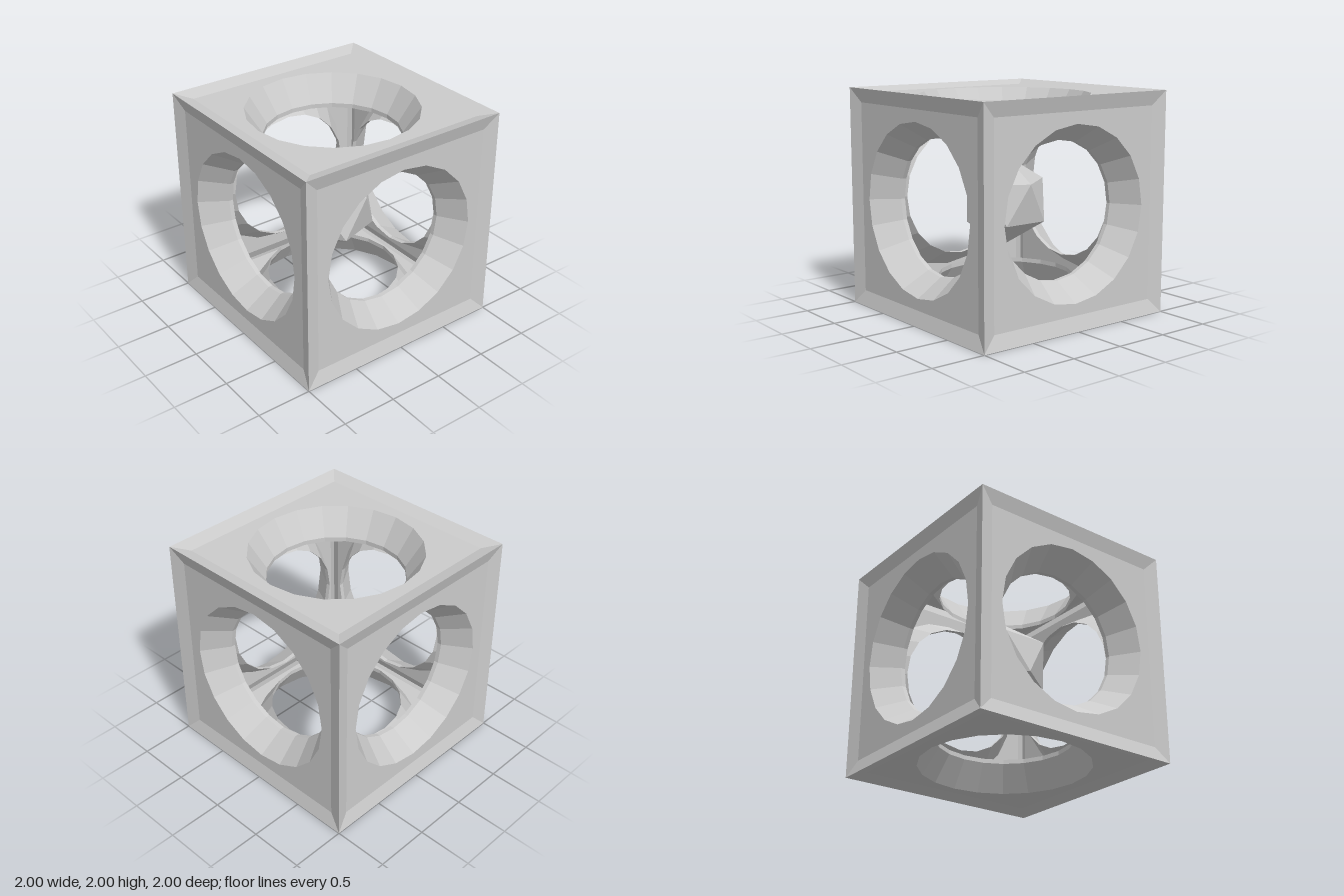
import * as THREE from 'three';

const SIDES = 20;
const HOLE_OUT = 0.765, HOLE_IN = 0.61; // radius at the panel and at the inner rim
const PANEL = 0.87;                     // half width of the recessed panel
const mat = new THREE.MeshStandardMaterial({ color: 0xcccccc, flatShading: true, side: THREE.DoubleSide });

function mesh(name, geometry) {
  const m = new THREE.Mesh(geometry, mat);
  m.name = name;
  return m;
}

// Open band around the y axis between two heights
function band(rTop, rBottom, yTop, yBottom, sides) {
  const g = new THREE.CylinderGeometry(rTop, rBottom, yTop - yBottom, sides, 1, true);
  return g.translate(0, (yTop + yBottom) / 2, 0);
}

// Four-sided sloping border from the cube edge to the panel
function border(half, y) {
  return band(half * Math.SQRT2, PANEL * Math.SQRT2, half, y, 4).rotateY(Math.PI / 4);
}

// Flat square with a round hole
function panel(y) {
  const s = new THREE.Shape([[-1, -1], [1, -1], [1, 1], [-1, 1]].map(
    ([a, b]) => new THREE.Vector2(a * PANEL, b * PANEL)));
  const hole = [];
  for (let i = 0; i < SIDES; i++) {
    const a = -i / SIDES * Math.PI * 2;
    hole.push(new THREE.Vector2(Math.cos(a) * HOLE_OUT, Math.sin(a) * HOLE_OUT));
  }
  s.holes.push(new THREE.Path(hole));
  return new THREE.ShapeGeometry(s).rotateX(-Math.PI / 2).translate(0, y, 0);
}

// One cube wall facing +y: outer skin, inner skin and the rim joining them
function createWall() {
  const wall = new THREE.Group();
  const parts = [
    ['outerBorder', border(1, 0.96)],
    ['outerPanel', panel(0.96)],
    ['holeFunnel', band(HOLE_OUT, HOLE_IN, 0.96, 0.72, SIDES)],
    ['holeRim', band(HOLE_IN, HOLE_IN, 0.72, 0.68, SIDES)],
    ['innerFunnel', band(HOLE_OUT, HOLE_IN, 0.92, 0.68, SIDES)],
    ['innerPanel', panel(0.92)],
    ['innerBorder', border(0.96, 0.92)],
  ];
  for (const [name, g] of parts) wall.add(mesh(name, g));
  return wall;
}

export function createModel() {
  const model = new THREE.Group();
  model.name = 'hollowCube';

  // Six equal walls around the centre
  const q = Math.PI / 2;
  const walls = [
    ['topWall', 0, 0], ['bottomWall', 2 * q, 0],
    ['frontWall', q, 0], ['backWall', -q, 0],
    ['leftWall', 0, -q], ['rightWall', 0, q],
  ];
  for (const [name, rx, rz] of walls) {
    const w = createWall();
    w.name = name;
    w.rotation.set(rx, 0, rz);
    w.position.y = 1;
    model.add(w);
  }

  // Floating icosahedron standing on one corner
  const core = new THREE.IcosahedronGeometry(0.406, 0)
    .rotateX(-Math.atan((1 + Math.sqrt(5)) / 2))
    .rotateY(q)
    .translate(0, 1, 0);
  model.add(mesh('core', core));
  return model;
}
